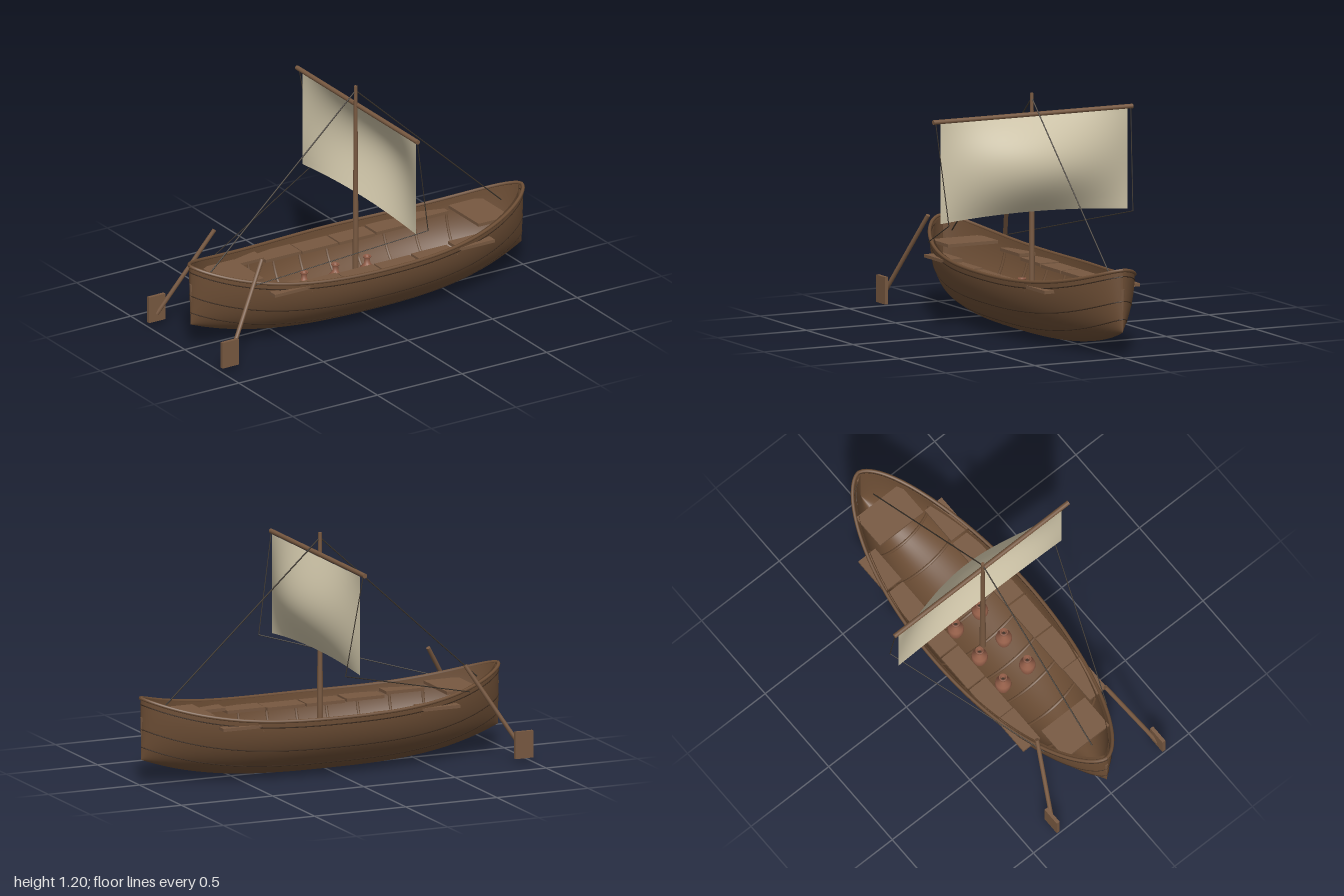
import * as THREE from 'three';

const V = (x, y, z) => new THREE.Vector3(x, y, z);
const CX = 0.0125, HALF = 0.978;

// Hull rules: t runs stern to bow (-1..1), a runs rim to rim under the keel (0..PI)
const rimY = (t) => 0.32 + 0.125 * Math.abs(t) ** 3;
const keelY = (t) => 0.004 + 0.128 * Math.abs(t) ** 3;
const halfWidth = (t) => 0.308 * Math.max(0, 1 - t * t) ** 0.6;
function hullPoint(t, a, inset = 0) {
  const w = Math.max(0, halfWidth(t) - inset);
  const depth = rimY(t) - keelY(t) - inset;
  return V(CX + t * (HALF - inset), rimY(t) - depth * Math.sin(a), w * Math.cos(a));
}

// Grid surface from a point rule over u, v in 0..1
function gridSurface(fn, nu, nv) {
  const pos = [], idx = [];
  for (let i = 0; i <= nu; i++)
    for (let j = 0; j <= nv; j++) pos.push(...fn(i / nu, j / nv).toArray());
  for (let i = 0; i < nu; i++)
    for (let j = 0; j < nv; j++) {
      const a = i * (nv + 1) + j, b = a + nv + 1;
      idx.push(a, a + 1, b, b, a + 1, b + 1);
    }
  const g = new THREE.BufferGeometry();
  g.setAttribute('position', new THREE.Float32BufferAttribute(pos, 3));
  g.setIndex(idx);
  g.computeVertexNormals();
  return g;
}

export function createModel() {
  const model = new THREE.Group();
  model.name = 'sailingBoat';

  const material = (name, color, side = THREE.FrontSide) => {
    const m = new THREE.MeshStandardMaterial({ color, side });
    m.name = name;
    return m;
  };
  const hullWood = material('hull wood', 0x6d4e35, THREE.DoubleSide);
  const lightWood = material('light wood', 0x775840);
  const seamWood = material('dark seam', 0x3b2a1d);
  const canvas = material('sail canvas', 0xcdc3a7, THREE.DoubleSide);
  const ropeMat = material('rope', 0x3a332b);
  const clay = material('clay', 0x96604a);

  const add = (name, geo, mat, x = 0, y = 0, z = 0) => {
    const mesh = new THREE.Mesh(geo, mat);
    mesh.name = name;
    mesh.position.set(x, y, z);
    model.add(mesh);
    return mesh;
  };
  const box = (name, w, h, d, mat, x, y, z) => add(name, new THREE.BoxGeometry(w, h, d), mat, x, y, z);
  const tube = (name, pts, r, mat, seg = 64, sides = 6) =>
    add(name, new THREE.TubeGeometry(new THREE.CatmullRomCurve3(pts), seg, r, sides), mat);
  const rod = (name, a, b, r1, r2, mat, sides = 12) => {
    const dir = b.clone().sub(a);
    const mesh = add(name, new THREE.CylinderGeometry(r2, r1, dir.length(), sides), mat);
    mesh.position.copy(a).add(b).multiplyScalar(0.5);
    mesh.quaternion.setFromUnitVectors(V(0, 1, 0), dir.normalize());
    return mesh;
  };
  const along = (u) => Math.sin((u - 0.5) * Math.PI);
  const lengthwise = (a, n = 48) => Array.from({ length: n + 1 }, (_, i) => hullPoint(along(i / n), a));

  // Hull skins
  add('hullOuter', gridSurface((u, v) => hullPoint(along(u), v * Math.PI), 72, 40), hullWood);
  add('hullInner', gridSurface((u, v) => hullPoint(along(u), v * Math.PI, 0.016), 72, 40), hullWood);

  // Gunwales and plank seams on both sides
  for (const side of [0, 1]) {
    const mirror = (a) => (side ? Math.PI - a : a);
    tube('gunwale', lengthwise(mirror(0)), 0.009, hullWood, 96, 8);
    for (const s of [0.1, 0.5, 0.79]) tube('plankSeam', lengthwise(mirror(Math.asin(s))), 0.003, seamWood, 96, 5);
  }

  // Stem and stern posts
  for (const s of [-1, 1])
    add('endPost', new THREE.CylinderGeometry(0.012, 0.004, 0.2, 8), lightWood, CX + s * (HALF - 0.007), 0.25, 0);

  // Inner ribs
  for (let i = -4; i <= 4; i++) {
    const t = i * 0.17;
    const pts = Array.from({ length: 21 }, (_, k) => hullPoint(t, Math.PI * (0.05 + 0.9 * k / 20), 0.018));
    tube('rib', pts, 0.008, hullWood, 40, 6);
  }

  // Side benches in six boards each, and end decks
  for (const s of [-1, 1]) {
    for (let i = 0; i < 6; i++) {
      const x = CX + (i - 2.5) * 0.218;
      box('benchBoard', 0.208, 0.016, 0.108, lightWood, x, rimY((x - CX) / HALF) - 0.036, s * 0.214);
    }
    box('endDeck', 0.19, 0.016, 0.28, lightWood, CX + s * 0.73, 0.347, 0);
  }

  // Clay jars standing on the bottom
  const jarProfile = [[0, 0], [0.015, 0.002], [0.032, 0.05], [0.042, 0.1], [0.038, 0.13], [0.016, 0.155],
    [0.014, 0.18], [0.021, 0.188], [0.02, 0.194], [0.011, 0.19], [0.009, 0.165], [0, 0.165]]
    .map(([r, y]) => new THREE.Vector2(r, y));
  for (const x of [-0.245, -0.06, 0.128])
    for (const z of [-0.078, 0.078]) {
      add('jar', new THREE.LatheGeometry(jarProfile, 20), clay, x, 0.03, z);
      add('jarMouth', new THREE.CylinderGeometry(0.01, 0.01, 0.004, 12), seamWood, x, 0.196, z);
    }

  // Mast and yard
  rod('mast', V(0.01, 0.02, 0), V(0.01, 1.2, 0), 0.017, 0.009, lightWood, 16);
  rod('yard', V(0.021, 1.094, -0.56), V(0.021, 1.094, 0.56), 0.012, 0.012, lightWood, 16);

  // Billowing sail
  add('sail', gridSurface((u, v) => {
    const k = u * 2 - 1;
    const bottom = 0.606 - 0.026 * k * k;
    const belly = 0.12 * Math.sin(Math.PI * v) * Math.cos(k * Math.PI / 2);
    return V(0.032 + belly, 1.085 + (bottom - 1.085) * v, 0.525 * k);
  }, 32, 24), canvas);

  // Stays, yard lines and sheets
  const top = V(0.01, 1.175, 0);
  rod('foreStay', top, V(0.87, 0.385, 0), 0.0035, 0.0035, ropeMat, 6);
  rod('backStay', top, V(-0.85, 0.385, 0), 0.0035, 0.0035, ropeMat, 6);
  for (const s of [-1, 1]) {
    const corner = V(0.108, 0.58, s * 0.517);
    rod('yardLine', V(0.025, 1.09, s * 0.548), corner, 0.0025, 0.0025, ropeMat, 6);
    rod('sheet', corner, V(-0.72, 0.358, s * 0.2), 0.0025, 0.0025, ropeMat, 6);
  }

  // Steering oars
  for (const s of [-1, 1]) {
    rod('oarShaft', V(-0.95, 0.065, s * 0.337), V(-0.685, 0.5, s * 0.22), 0.011, 0.011, lightWood);
    box('oarBlade', 0.097, 0.138, 0.018, lightWood, -0.951, 0.096, s * 0.34);
  }

  return model;
}
